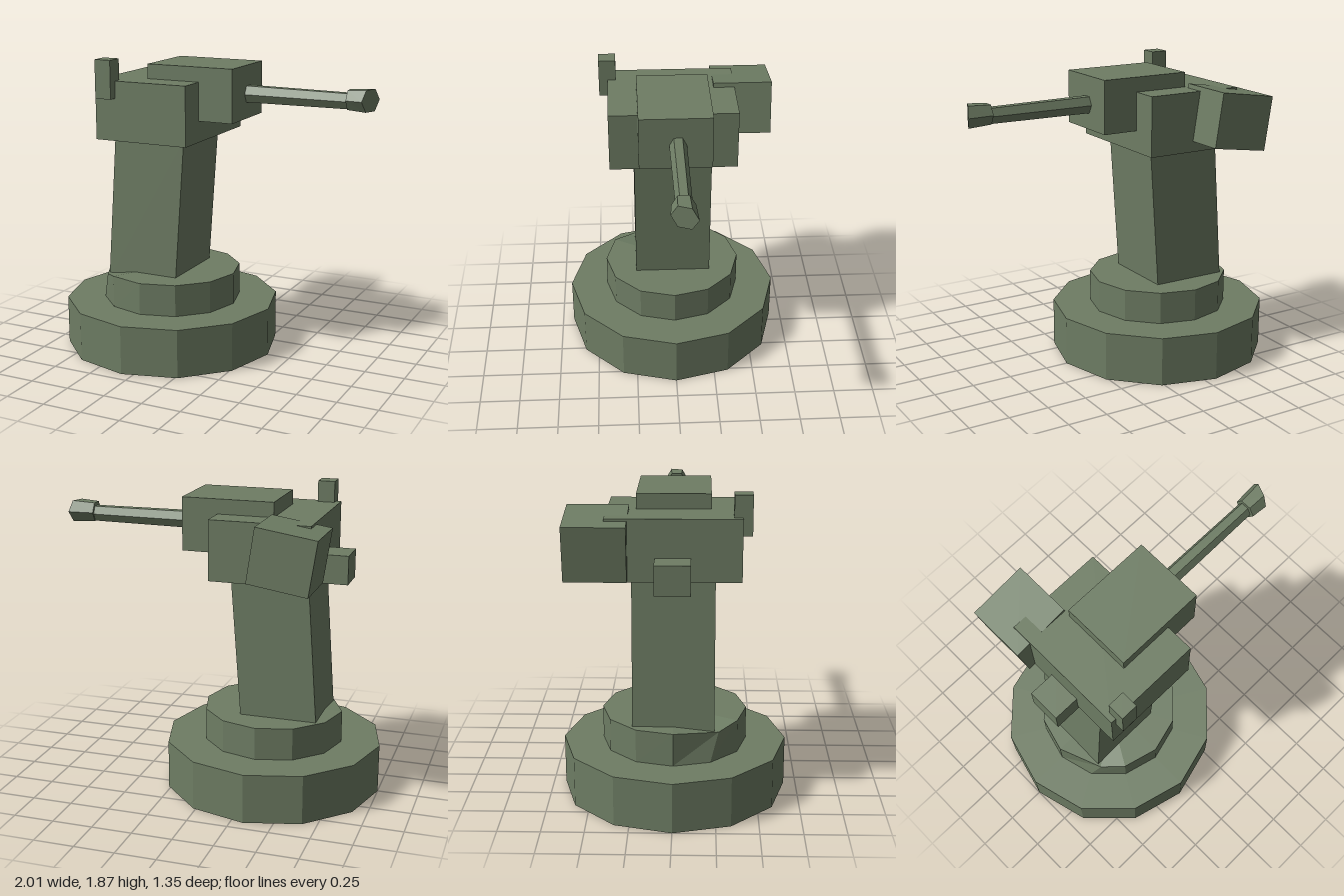
import * as THREE from 'three';

const material = new THREE.MeshStandardMaterial({ color: 0x6e7d64, flatShading: true });

export function createModel() {
  const group = new THREE.Group();

  const add = (name, geometry) => {
    const mesh = new THREE.Mesh(geometry, material);
    mesh.name = name;
    group.add(mesh);
    return mesh;
  };

  // Box given by its extents on each axis
  const block = (name, [x0, x1], [y0, y1], [z0, z1]) => {
    const mesh = add(name, new THREE.BoxGeometry(x1 - x0, y1 - y0, z1 - z0));
    mesh.position.set((x0 + x1) / 2, (y0 + y1) / 2, (z0 + z1) / 2);
    return mesh;
  };

  // Calls the rule on every vertex, which may change it
  const reshape = (geometry, rule) => {
    const p = geometry.attributes.position;
    const v = new THREE.Vector3();
    for (let i = 0; i < p.count; i++) {
      rule(v.fromBufferAttribute(p, i));
      p.setXYZ(i, v.x, v.y, v.z);
    }
    geometry.computeVertexNormals();
    return geometry;
  };

  // Stepped twelve-sided foot
  const axisX = -0.323;
  add('base', new THREE.CylinderGeometry(0.677, 0.677, 0.305, 12)).position.set(axisX, 0.1525, 0);

  // Upper step, one rim corner pressed in beside the column
  const step = new THREE.CylinderGeometry(0.436, 0.436, 0.2, 12);
  const corner = new THREE.Vector3(-0.378, 0.1, 0.218);
  reshape(step, (v) => {
    if (v.distanceTo(corner) < 0.02) v.set(-0.327, 0.07, 0.265);
  });
  add('upperStep', step).position.set(axisX, 0.405, 0);

  // Leaning square column
  const column = new THREE.BoxGeometry(0.475, 0.95, 0.48);
  reshape(column, (v) => { v.x += v.y * 0.072; });
  add('column', column).position.set(-0.382, 0.905, 0);

  // Head and the boxes attached to it
  block('head', [-0.63, -0.02], [1.375, 1.74], [-0.39, 0.39]);
  block('gunHousing', [-0.365, 0.2], [1.505, 1.83], [-0.22, 0.215]);
  block('rearBox', [-0.79, -0.6], [1.34, 1.515], [-0.105, 0.1]);
  block('sight', [-0.597, -0.492], [1.635, 1.87], [0.34, 0.445]);
  block('sideBox', [-0.702, -0.338], [1.411, 1.741], [-0.62, -0.26]).rotation.z = 0.152;

  // Six-sided barrel lying along x
  const alongX = (r0, r1, length) =>
    new THREE.CylinderGeometry(r1, r0, length, 6).rotateZ(-Math.PI / 2);
  const barrel = alongX(0.058, 0.052, 0.75);
  reshape(barrel, (v) => { v.z *= 0.9; });
  add('barrel', barrel).position.set(0.525, 1.655, -0.015);

  // Flared muzzle with a slanted end
  const muzzle = alongX(0.066, 0.075, 0.12);
  reshape(muzzle, (v) => {
    if (v.x > 0) v.x += 0.01 - 0.4 * v.z;
  });
  add('muzzle', muzzle).position.set(0.905, 1.665, -0.012);

  return group;
}
